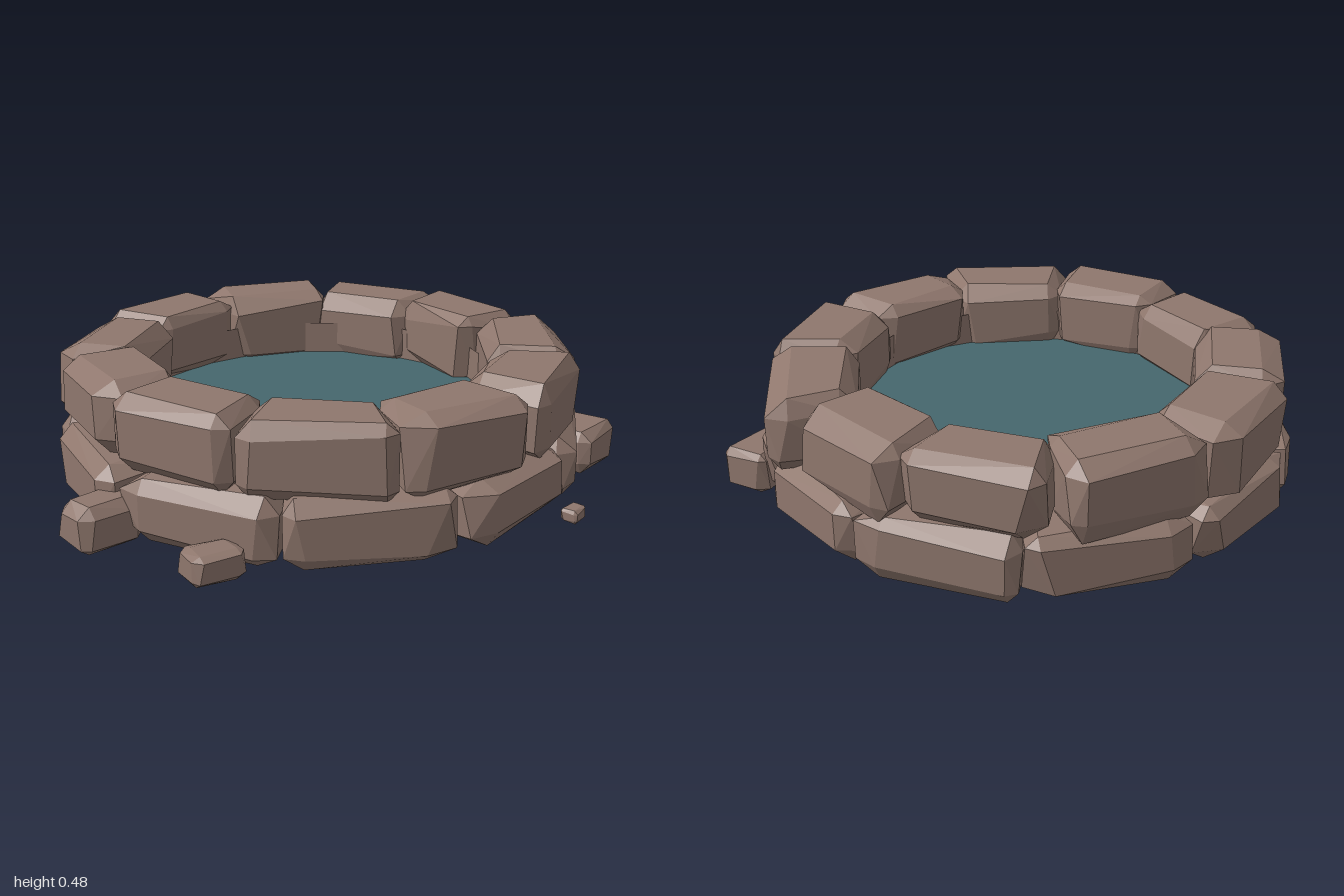
import * as THREE from 'three';
import { ConvexGeometry } from 'three/addons/geometries/ConvexGeometry.js';

const CENTER_X = 0.04;

// Small seeded generator for the rough stone shapes
function makeRandom(seed) {
  let s = seed;
  return () => {
    s = (s * 16807) % 2147483647;
    return s / 2147483647;
  };
}

// Chamfered block with uneven corners; the -z (inner) side is narrowed by taper
function stoneGeometry(w, h, d, random, taper = 1) {
  const points = [];
  const bevel = (size, low, high) => size * (low + random() * (high - low));
  for (const sx of [-1, 1]) for (const sy of [-1, 1]) for (const sz of [-1, 1]) {
    const cx = bevel(w, 0.06, 0.2);
    const cy = bevel(h, 0.1, 0.28);
    const cz = bevel(d, 0.08, 0.27);
    const k = sz < 0 ? taper : 1;
    const x = w / 2, y = h / 2, z = d / 2;
    points.push(
      new THREE.Vector3(sx * k * x, sy * (y - cy), sz * (z - cz)),
      new THREE.Vector3(sx * k * (x - cx), sy * y, sz * (z - cz)),
      new THREE.Vector3(sx * k * (x - cx), sy * (y - cy), sz * z)
    );
  }
  return new ConvexGeometry(points);
}

export function createModel() {
  const model = new THREE.Group();
  model.name = 'stonePool';
  const stone = new THREE.MeshStandardMaterial({ color: 0x8f776d, side: THREE.DoubleSide });
  stone.name = 'stone';
  const waterBlue = new THREE.MeshStandardMaterial({ color: 0x46676d, side: THREE.DoubleSide });
  waterBlue.name = 'waterBlue';
  const random = makeRandom(4711);

  const add = (name, geometry, material, x, y, z, turn = 0) => {
    const mesh = new THREE.Mesh(geometry, material);
    mesh.name = name;
    mesh.position.set(x, y, z);
    mesh.rotation.y = turn;
    model.add(mesh);
    return mesh;
  };

  // One stone of a course, with its long side along the ring
  const addRingStone = (name, degrees, radius, y, w, h, d, twist = 0) => {
    const a = THREE.MathUtils.degToRad(degrees);
    add(name, stoneGeometry(w, h, d, random, 0.86), stone,
      CENTER_X + Math.cos(a) * radius, y, Math.sin(a) * radius,
      Math.PI / 2 - a + THREE.MathUtils.degToRad(twist));
  };

  // Lower course
  for (let i = 0; i < 10; i++) {
    addRingStone('lowerStone', -2 + i * 36, 0.75 + random() * 0.015,
      0.12, 0.54, 0.215 + random() * 0.015, 0.3, (random() - 0.5) * 8);
  }

  // Upper course: angle, radius, length, twist
  const upper = [
    [-112, 0.75, 0.48, 3], [-79, 0.755, 0.48, 5], [-46.5, 0.75, 0.47, -9],
    [-16, 0.735, 0.47, -8], [17, 0.75, 0.5, -10], [50.5, 0.735, 0.47, 0],
    [84, 0.745, 0.48, -2], [116.5, 0.735, 0.49, -4], [150, 0.73, 0.47, 2],
    [183, 0.725, 0.47, 3], [214, 0.735, 0.48, -6]
  ];
  for (const [angle, radius, length, twist] of upper) {
    const height = 0.25 + random() * 0.02;
    addRingStone('upperStone', angle, radius, 0.21 + height / 2, length, height, 0.3, twist);
  }

  // Thin inner wall behind the stones
  const wall = new THREE.CylinderGeometry(0.63, 0.63, 0.36, 20, 1, true).toNonIndexed();
  wall.computeVertexNormals();
  add('innerWall', wall, stone, CENTER_X, 0.18, 0);

  // Water surface
  const water = add('water', new THREE.CircleGeometry(0.63, 20), waterBlue, CENTER_X, 0.24, 0);
  water.rotation.x = -Math.PI / 2;

  // Loose rocks around the base: x, z, width, height, depth, turn
  const rocks = [
    [-0.885, 0.31, 0.22, 0.15, 0.17, 0.25], [-0.665, 0.7, 0.175, 0.095, 0.14, 0.08],
    [0.88, 0.42, 0.23, 0.155, 0.18, 0.5], [0.555, 0.83, 0.08, 0.045, 0.06, 0.5]
  ];
  for (const [x, z, w, h, d, turn] of rocks) {
    add('looseRock', stoneGeometry(w, h, d, random), stone, x, 0.005 + h / 2, z, turn);
  }

  return model;
}
